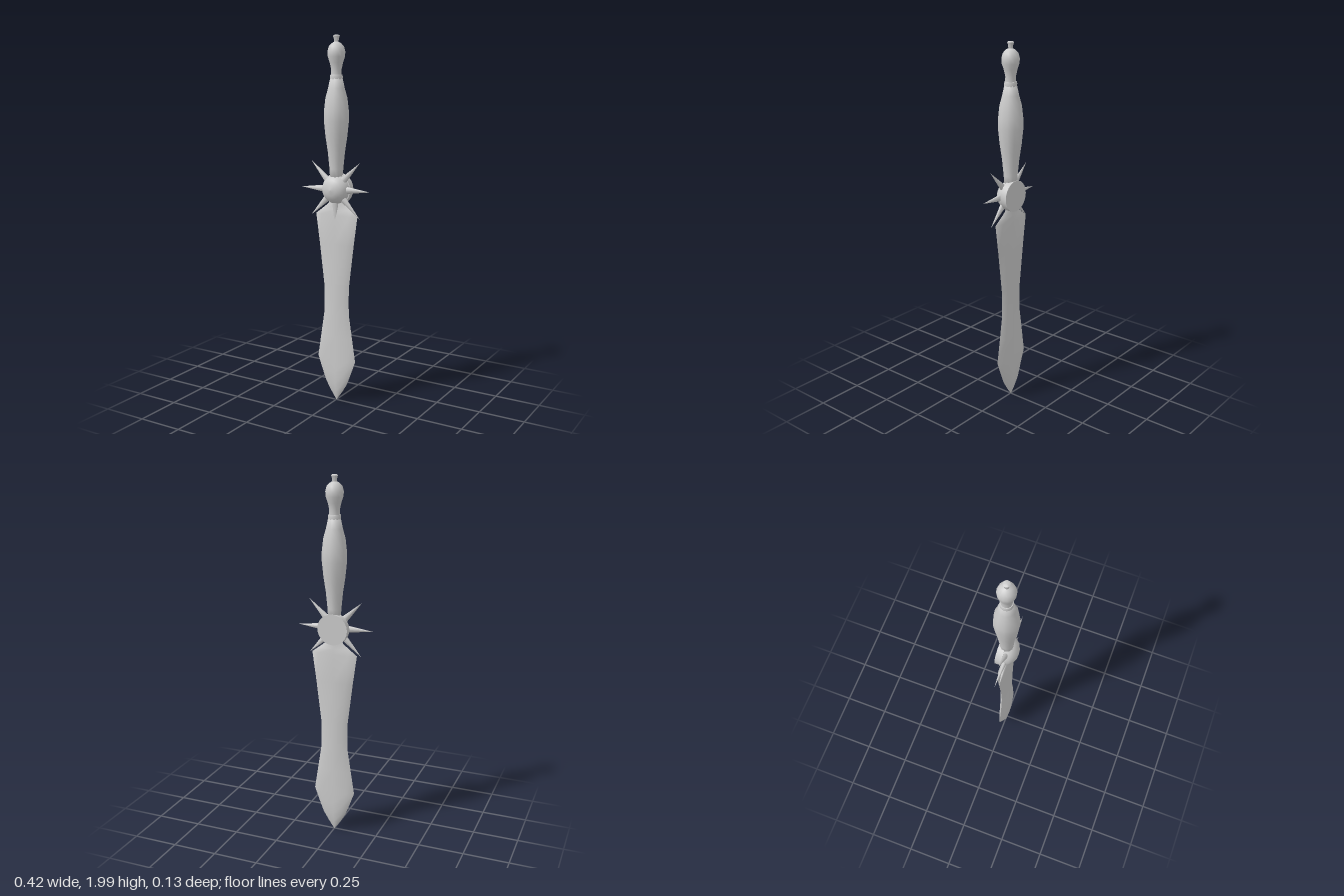
import * as THREE from 'three';
import { toCreasedNormals } from 'three/addons/utils/BufferGeometryUtils.js';

const material = new THREE.MeshStandardMaterial({ color: 0xcccccc, side: THREE.DoubleSide });

function add(group, name, geometry) {
  const mesh = new THREE.Mesh(geometry, material);
  mesh.name = name;
  group.add(mesh);
  return mesh;
}

function lathe(points, sides, phi = 0) {
  const profile = points.map(([r, y]) => new THREE.Vector2(r, y));
  return new THREE.LatheGeometry(profile, sides, phi);
}

// Blade: bevelled eight-sided sections [y, half width, half thickness], from tip to guard
function bladeGeometry() {
  const sections = [
    [0.01, 0.001, 0.001], [0.06, 0.036, 0.011], [0.11, 0.066, 0.018], [0.18, 0.093, 0.019],
    [0.25, 0.118, 0.019], [0.38, 0.098, 0.019], [0.51, 0.078, 0.019], [0.59, 0.076, 0.019],
    [0.67, 0.078, 0.019], [0.9, 0.106, 0.019], [1.06, 0.128, 0.018],
    [1.09, 0.088, 0.015], [1.12, 0.05, 0.012], [1.16, 0.035, 0.01],
  ];
  const ring = [[1, 0], [0.66, 0.9], [0, 1], [-0.66, 0.9], [-1, 0], [-0.66, -0.9], [0, -1], [0.66, -0.9]];
  const n = ring.length;
  const positions = [];
  const index = [];
  for (const [y, w, t] of sections) {
    for (const [x, z] of ring) positions.push(x * w, y, z * t - 0.002);
  }
  for (let s = 0; s < sections.length - 1; s++) {
    for (let i = 0; i < n; i++) {
      const a = s * n + i;
      const b = s * n + (i + 1) % n;
      index.push(a, a + n, b, b, a + n, b + n);
    }
  }
  // End caps
  const last = (sections.length - 1) * n;
  for (let i = 1; i < n - 1; i++) {
    index.push(0, i, i + 1, last, last + i + 1, last + i);
  }
  const geometry = new THREE.BufferGeometry();
  geometry.setAttribute('position', new THREE.Float32BufferAttribute(positions, 3));
  geometry.setIndex(index);
  geometry.computeVertexNormals();
  return toCreasedNormals(geometry, 0.75);
}

export function createModel() {
  const model = new THREE.Group();
  model.name = 'dagger';

  add(model, 'blade', bladeGeometry());

  // Swelling grip
  add(model, 'grip', lathe([
    [0, 1.25], [0.034, 1.25], [0.037, 1.31], [0.046, 1.4], [0.058, 1.48], [0.066, 1.56],
    [0.066, 1.61], [0.058, 1.68], [0.044, 1.73], [0.032, 1.785], [0, 1.785],
  ], 11, Math.PI));

  // Collar between grip and pommel
  add(model, 'collar', toCreasedNormals(lathe([
    [0, 1.775], [0.033, 1.775], [0.034, 1.79], [0.031, 1.8], [0, 1.8],
  ], 16), 0.6));

  // Pommel with a small flared button
  add(model, 'pommel', lathe([
    [0.028, 1.795], [0.027, 1.825], [0.035, 1.86], [0.045, 1.89], [0.047, 1.915],
    [0.04, 1.942], [0.025, 1.958], [0.012, 1.965],
  ], 16));
  add(model, 'pommelButton', toCreasedNormals(lathe([
    [0.011, 1.96], [0.013, 1.98], [0.018, 1.995], [0.012, 2], [0, 2],
  ], 12), 0.8));

  // Round guard: flat-backed disc carrying a front dome
  const guard = new THREE.Group();
  guard.name = 'guard';
  guard.position.y = 1.2;
  model.add(guard);

  const disc = new THREE.CylinderGeometry(0.084, 0.084, 0.036, 24).rotateX(Math.PI / 2);
  add(guard, 'guardDisc', toCreasedNormals(disc, 0.6)).position.z = -0.018;

  const dome = lathe([
    [0.08, -0.005], [0.077, 0.015], [0.068, 0.034], [0.053, 0.05], [0.029, 0.062], [0, 0.066],
  ], 24).rotateX(Math.PI / 2);
  add(guard, 'guardDome', dome);

  // Eight radiating spikes
  const spike = new THREE.ConeGeometry(0.022, 0.16, 8, 1).scale(1, 1, 0.65).translate(0, 0.13, 0.012);
  for (let i = 0; i < 8; i++) {
    add(guard, 'guardSpike', spike).rotation.z = i * Math.PI / 4;
  }

  return model;
}
